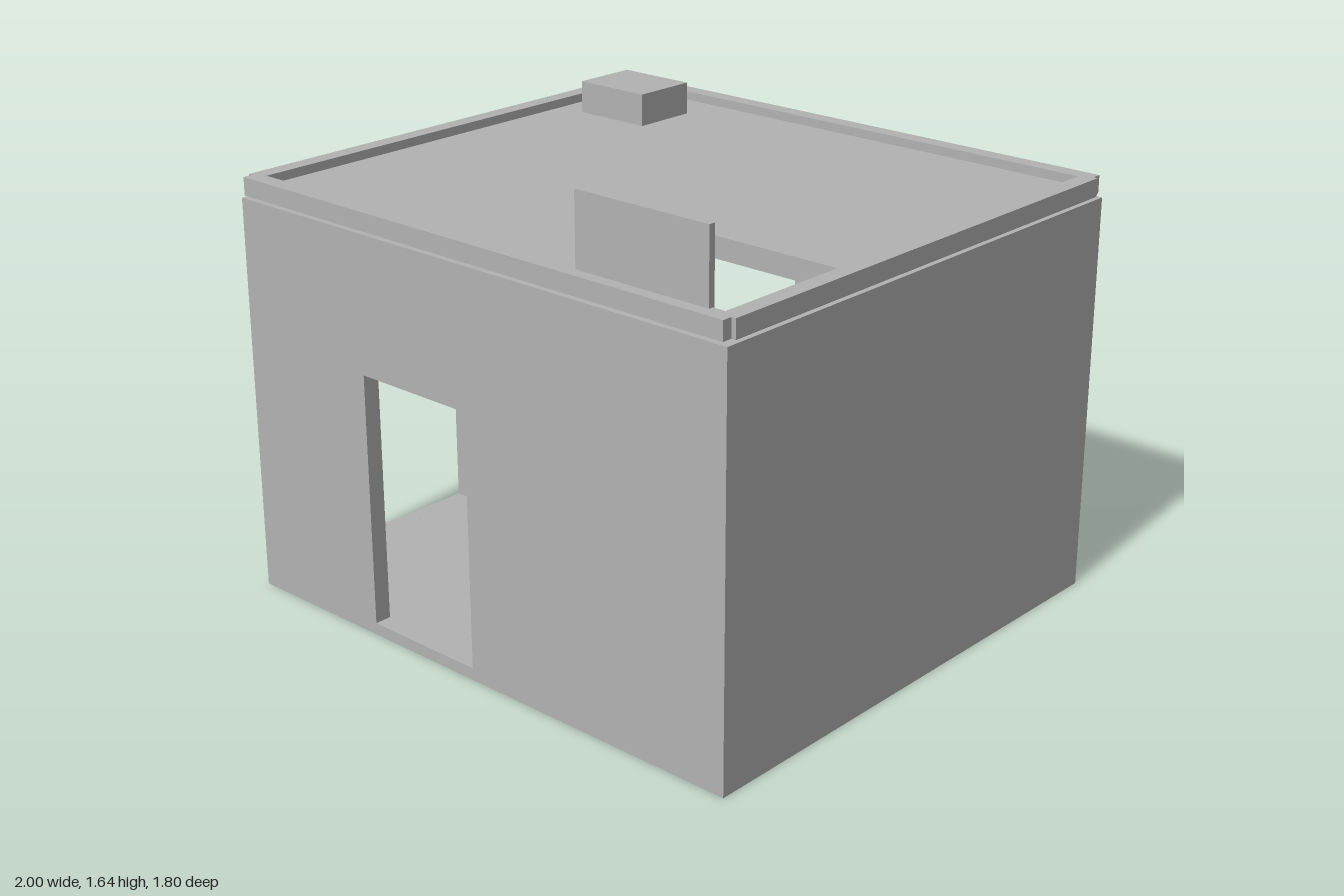
import * as THREE from 'three';

const W = 1, D = 0.9, T = 0.057;      // half width, half depth, wall thickness
const WALL_TOP = 1.34, FLOOR = 0.04, ROOF = 1.38;

const plaster = new THREE.MeshStandardMaterial({ color: 0xb3b3b3 });
plaster.name = 'grey plaster';

// counter-clockwise rectangle points
const rect = (x0, x1, y0, y1) => [[x0, y0], [x1, y0], [x1, y1], [x0, y1]].map(p => new THREE.Vector2(...p));

// flat outline with rectangular openings, extruded along z
function panel(outline, holes, depth) {
  const shape = new THREE.Shape(outline);
  for (const h of holes) shape.holes.push(new THREE.Path(rect(...h).reverse()));
  return new THREE.ExtrudeGeometry(shape, { depth, bevelEnabled: false });
}

function add(parent, name, geometry, x = 0, y = 0, z = 0) {
  const mesh = new THREE.Mesh(geometry, plaster);
  mesh.name = name;
  mesh.position.set(x, y, z);
  parent.add(mesh);
  return mesh;
}

// box given by its extents
function block(parent, name, x0, x1, y0, y1, z0, z1) {
  return add(parent, name, new THREE.BoxGeometry(x1 - x0, y1 - y0, z1 - z0),
    (x0 + x1) / 2, (y0 + y1) / 2, (z0 + z1) / 2);
}

// horizontal plate drawn in x and z, hanging down from its top
function plate(parent, name, outline, holes, top, height) {
  return add(parent, name, panel(outline, holes, height).rotateX(Math.PI / 2), 0, top, 0);
}

// desk below a back window, with its chair and a small box on top
function workplace(name, cx) {
  const g = new THREE.Group();
  g.name = name;
  g.position.x = cx;
  const back = -D + T;
  block(g, 'deskTop', -0.245, 0.245, 0.35, 0.385, back, -0.6);
  block(g, 'deskBox', -0.07, 0.06, 0.385, 0.445, -0.745, -0.635);
  for (const s of [-1, 1]) {
    for (const z of [back + 0.02, -0.63]) block(g, 'deskLeg', s * 0.22 - 0.015, s * 0.22 + 0.015, FLOOR, 0.35, z - 0.015, z + 0.015);
    for (const z of [-0.56, -0.4]) block(g, 'chairLeg', s * 0.1 - 0.012, s * 0.1 + 0.012, FLOOR, 0.16, z - 0.012, z + 0.012);
  }
  block(g, 'chairSeat', -0.115, 0.115, 0.16, 0.21, -0.58, -0.38);
  block(g, 'chairBack', -0.11, 0.11, 0.21, 0.375, -0.41, -0.38);
  return g;
}

export function createModel() {
  const model = new THREE.Group();
  model.name = 'flatRoofHouse';

  // walls with doors and windows
  const frontDoor = [-0.455, -0.01, FLOOR, 0.885];
  const sideDoor = [0.035, 0.485, FLOOR, 0.885];
  const sideWindow = [-0.7, -0.325, 0.5, 0.78];
  const backWindows = [[-0.64, -0.175, 0.397, 0.813], [0.19, 0.655, 0.397, 0.813]];
  const longWall = rect(-W, W, 0, WALL_TOP);
  const shortWall = rect(-D + T, D - T, 0, WALL_TOP);
  add(model, 'frontWall', panel(longWall, [frontDoor], T), 0, 0, D - T);
  add(model, 'backWall', panel(longWall, backWindows, T), 0, 0, -D);
  add(model, 'rightWall', panel(shortWall, [sideDoor, sideWindow], T).rotateY(-Math.PI / 2), -W + T, 0, 0);
  add(model, 'leftWall', panel(shortWall, [], T).rotateY(-Math.PI / 2), W, 0, 0);
  block(model, 'floor', -W + T, W - T, 0, FLOOR, -D + T, D - T);

  // roof slab with the hatch opening
  plate(model, 'roofSlab', rect(-W + T, W - T, -D + T, D - T), [[0.415, 0.9, 0.3, 0.835]], ROOF, 0.05);

  // parapet ring with notched corners
  const nx = 0.985, nz = 0.867;
  const ring = [[-nx, -D], [nx, -D], [nx, -nz], [W, -nz], [W, nz], [nx, nz],
    [nx, D], [-nx, D], [-nx, nz], [-W, nz], [-W, -nz], [-nx, -nz]].map(p => new THREE.Vector2(...p));
  plate(model, 'parapet', ring, [[-W + T, W - T, -D + T, D - T]], 1.41, 0.06);
  plate(model, 'parapetJoint', rect(-0.95, 0.95, -0.85, 0.85), [[-W + T, W - T, -D + T, D - T]], 1.35, 0.01);

  // roof details: vent, open hatch lid and ladder rails
  block(model, 'roofVent', -0.84, -0.555, ROOF, 1.49, -0.695, -0.465);
  block(model, 'hatchLid', 0.415, 0.9, ROOF, 1.64, 0.836, 0.858);
  for (const x of [0.525, 0.785]) block(model, 'ladderRail', x - 0.015, x + 0.015, FLOOR, 1.49, 0.742, 0.782);

  // furniture
  model.add(workplace('rightWorkplace', -0.41), workplace('leftWorkplace', 0.42));
  block(model, 'bed', 0.63, W - T, FLOOR, 0.2, -0.3, 0.37);

  return model;
}
